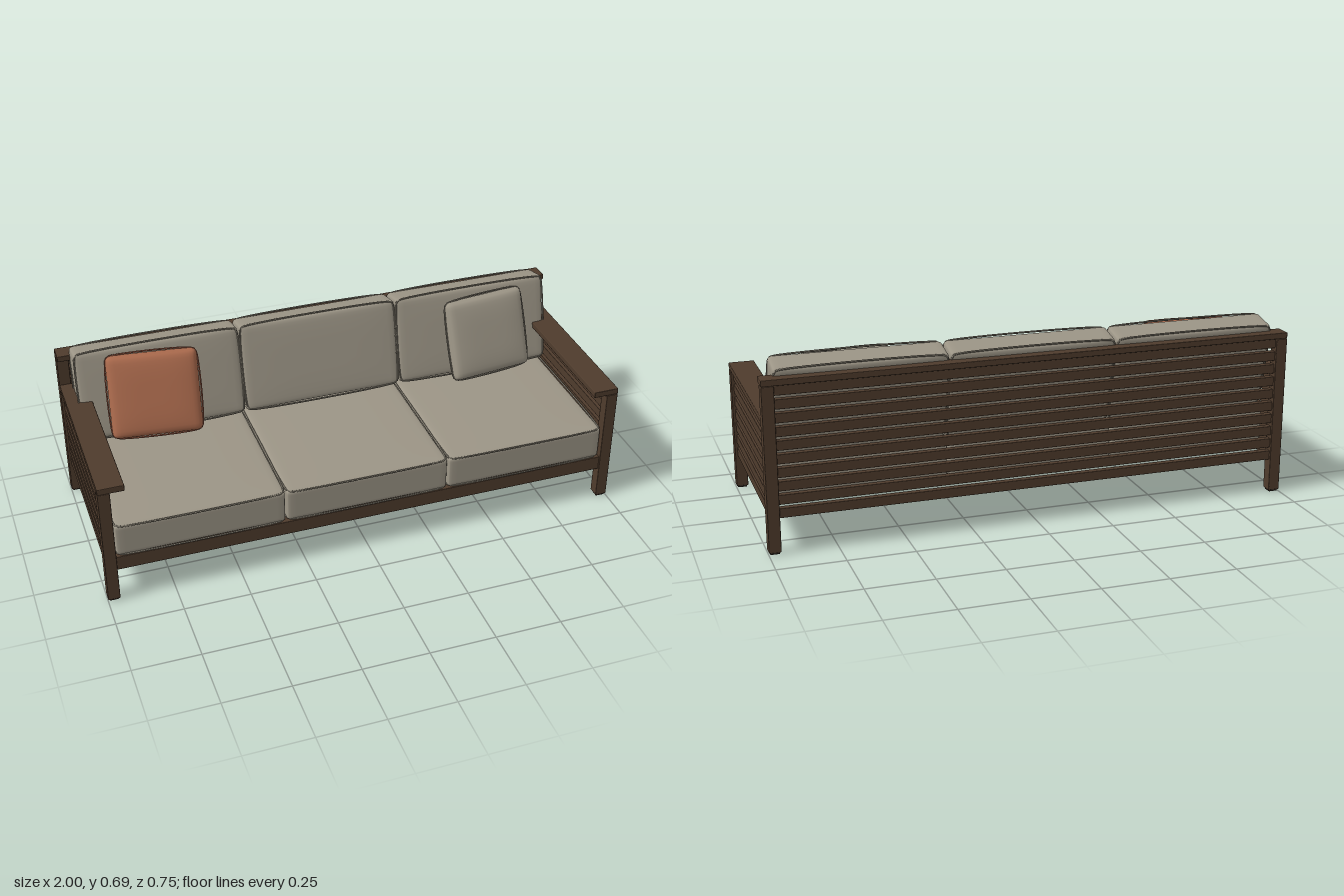
import * as THREE from 'three';
import { mergeVertices } from 'three/addons/utils/BufferGeometryUtils.js';
import { RoundedBoxGeometry } from 'three/addons/geometries/RoundedBoxGeometry.js';

const mat = (name, color) => new THREE.MeshStandardMaterial({ name, color });

// Soft box: rounded edges, with the two z faces crowned outwards
function cushionGeometry(w, h, d, r, crown) {
  const n = 20;
  const geo = new THREE.BoxGeometry(2, 2, 2, n, n, n);
  geo.deleteAttribute('uv');
  geo.deleteAttribute('normal');
  const p = geo.attributes.position;
  const half = new THREE.Vector3(w / 2, h / 2, d / 2);
  const inner = half.clone().subScalar(r);
  const v = new THREE.Vector3(), c = new THREE.Vector3();
  const ease = (t) => Math.sin(t * Math.PI / 2); // crowds the grid near edges
  for (let i = 0; i < p.count; i++) {
    v.set(ease(p.getX(i)), ease(p.getY(i)), ease(p.getZ(i)));
    const puff = crown * (1 - v.x ** 4) * (1 - v.y ** 4) * v.z;
    v.multiply(half);
    c.copy(v).clamp(inner.clone().negate(), inner);
    v.sub(c).setLength(r).add(c);
    p.setXYZ(i, v.x, v.y, v.z + puff);
  }
  const merged = mergeVertices(geo, 1e-5);
  merged.computeVertexNormals();
  return merged;
}

// Closed cord following a rounded rectangle at depth z
function pipingGeometry(w, h, z, corner, radius) {
  const x = w / 2, y = h / 2, k = corner * 0.3;
  const pts = [];
  const add = (a, b) => pts.push(new THREE.Vector3(a, b, z));
  for (const [sx, sy] of [[1, 1], [-1, 1], [-1, -1], [1, -1]]) {
    const a = [sx * x, sy * (y - corner)], b = [sx * (x - k), sy * (y - k)], c = [sx * (x - corner), sy * y];
    const order = sx * sy > 0 ? [a, b, c] : [c, b, a];
    order.forEach((q) => add(...q));
  }
  const curve = new THREE.CatmullRomCurve3(pts, true, 'centripetal');
  return new THREE.TubeGeometry(curve, 120, radius, 6, true);
}

export function createModel() {
  const model = new THREE.Group();
  model.name = 'sofa';
  const wood = mat('dark wood', 0x4f3c2d);
  const foot = mat('foot pad', 0x2c241e);
  const fabric = mat('grey fabric', 0x9c9586);
  const cord = mat('grey piping', 0x7f796c);
  const rust = mat('rust fabric', 0xa9694c);
  const rustCord = mat('rust piping', 0x8c5440);

  // Timber piece given by its extents on each axis
  function timber(name, [x0, x1], [y0, y1], [z0, z1], m = wood, r = 0.003) {
    const geo = new RoundedBoxGeometry(x1 - x0, y1 - y0, z1 - z0, 1, r);
    const mesh = new THREE.Mesh(geo, m);
    mesh.name = name;
    mesh.position.set((x0 + x1) / 2, (y0 + y1) / 2, (z0 + z1) / 2);
    model.add(mesh);
  }
  const sided = (s, a, b) => (s > 0 ? [a, b] : [-b, -a]);

  for (const s of [1, -1]) {
    const side = s > 0 ? 'left' : 'right';
    // Posts and foot pads
    for (const [end, f, top] of [['Front', 1, 0.477], ['Back', -1, 0.616]]) {
      timber(side + end + 'Post', sided(s, 0.955, 1), [0.008, top], sided(f, 0.332, 0.376));
      timber(side + end + 'Foot', sided(s, 0.96, 0.995), [0, 0.012], sided(f, 0.337, 0.371), foot);
    }
    timber(side + 'Armrest', sided(s, 0.902, 1), [0.478, 0.502], [-0.333, 0.376]);
    // Side slats
    for (let i = 0; i < 7; i++) {
      const y = 0.133 + i * 0.0513;
      timber(side + 'Slat', sided(s, 0.965, 0.99), [y, y + 0.036], [-0.335, 0.335], wood, 0.002);
    }
  }

  // Back slats and top rail
  for (let i = 0; i < 10; i++) {
    const y = 0.133 + i * 0.0497;
    timber('backSlat', [-0.957, 0.957], [y, y + 0.036], [-0.367, -0.342], wood, 0.002);
  }
  timber('topRail', [-1, 1], [0.617, 0.64], [-0.376, -0.308]);

  // Base
  timber('frontRail', [-0.957, 0.957], [0.133, 0.19], [0.335, 0.369]);
  timber('seatPlatform', [-0.962, 0.962], [0.173, 0.188], [-0.342, 0.337], wood, 0.002);

  // Cushion with cords at the given depths
  function cushion(name, [w, h, d], r, crown, depths, m, pipe) {
    const g = new THREE.Group();
    g.name = name;
    const body = new THREE.Mesh(cushionGeometry(w, h, d, r, crown), m);
    body.name = 'cushionBody';
    g.add(body);
    const inset = depths.length > 1 ? r * 0.5 : 0;
    for (const z of depths) {
      const seam = new THREE.Mesh(pipingGeometry(w - inset, h - inset, z, r, 0.0035), pipe);
      seam.name = 'piping';
      g.add(seam);
    }
    model.add(g);
    return g;
  }

  for (const i of [-1, 0, 1]) {
    const x = i * 0.636;
    // Seat cushion lies flat, its crowned face upwards
    const seat = cushion('seatCushion', [0.631, 0.665, 0.132], 0.014, 0.004, [0.062, -0.062], fabric, cord);
    seat.rotation.x = -Math.PI / 2;
    seat.position.set(x, 0.257, 0.034);
    // Back cushion leans on the top rail
    const back = cushion('backCushion', [0.631, 0.348, 0.113], 0.016, 0.005, [0.052, -0.052], fabric, cord);
    back.rotation.x = -0.225;
    back.position.set(x, 0.506, -0.244);
  }

  // Throw pillows, turned slightly outwards
  for (const s of [1, -1]) {
    const [m, pipe] = s > 0 ? [fabric, cord] : [rust, rustCord];
    const pillow = cushion('throwPillow', [0.342, 0.318, 0.05], 0.024, 0.012, [0], m, pipe);
    pillow.rotation.order = 'YXZ';
    pillow.rotation.set(-0.34, s * 0.12, 0);
    pillow.position.set(s * 0.676, 0.522, -0.132);
  }
  return model;
}
